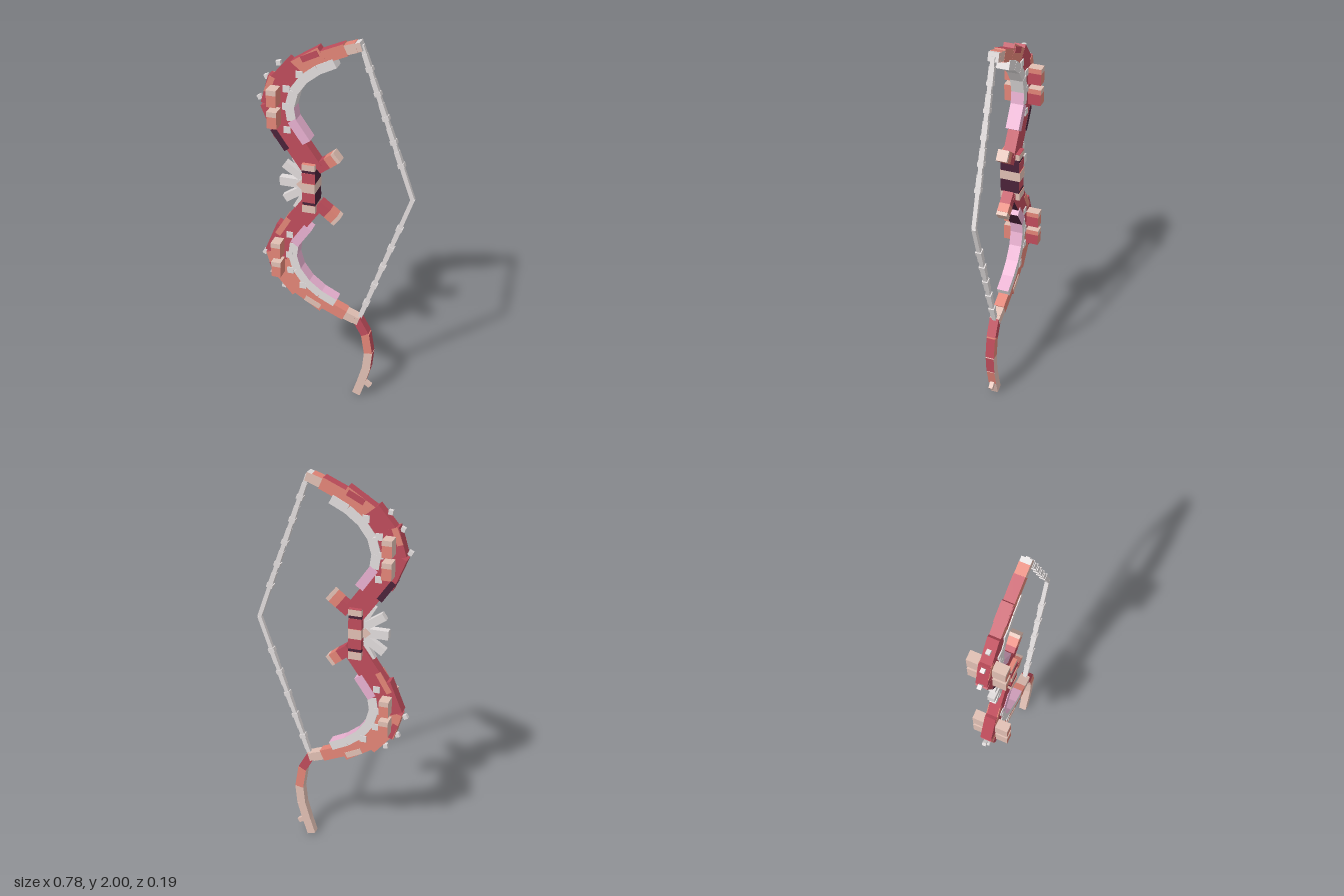
import * as THREE from 'three';

const mat = (name, color) => {
  const m = new THREE.MeshStandardMaterial({ color });
  m.name = name;
  return m;
};

export function createModel() {
  const red = mat('red', 0xbe4c5b), salmon = mat('salmon', 0xe28577), beige = mat('beige', 0xe0bfb3);
  const grey = mat('light grey', 0xe0dbdb), pink = mat('pink', 0xeab2d2), dark = mat('dark maroon', 0x4a2239);

  const bow = new THREE.Group();
  bow.name = 'bow';
  const MID = 1.23; // height of the grip centre, where the arms mirror

  const box = (parent, name, x, y, z, w, h, d, m) => {
    const mesh = new THREE.Mesh(new THREE.BoxGeometry(w, h, d), m);
    mesh.position.set(x, y, z);
    mesh.name = name;
    parent.add(mesh);
    return mesh;
  };
  // Box running from p to q; its local +y lies to the left of that direction
  const bar = (parent, name, p, q, w, d, m) => {
    const dx = q[0] - p[0], dy = q[1] - p[1];
    const mesh = box(parent, name, (p[0] + q[0]) / 2, (p[1] + q[1]) / 2, 0, Math.hypot(dx, dy), w, d, m);
    mesh.rotation.z = Math.atan2(dy, dx);
    return mesh;
  };
  // Face colours of a bar: ends, outer side, inner side, front and back
  const faces = (end, outer, inner, front) => [end, end, outer, inner, front, front];

  for (const up of [true, false]) {
    const arm = new THREE.Group();
    arm.name = up ? 'upperArm' : 'lowerArm';
    bow.add(arm);
    const fy = (y) => (up ? y : 2 * MID - y);
    const seg = (name, a, b, w, d, m) => {
      const p = [a[0], fy(a[1])], q = [b[0], fy(b[1])];
      return up ? bar(arm, name, p, q, w, d, m) : bar(arm, name, q, p, w, d, m);
    };

    // Overlapping blocks of the curved limb, from grip to tip
    const o = up ? red : salmon;
    const limb = [
      [[-0.11, 1.32], [-0.265, 1.54], 0.107, faces(red, red, up ? red : dark, red)],
      [[-0.247, 1.49], [-0.312, 1.65], 0.12, faces(red, red, red, red)],
      [[-0.31, 1.63], [-0.27, 1.77], 0.115, faces(red, o, red, up ? red : salmon)],
      [[-0.29, 1.73], [-0.19, 1.848], 0.1, faces(red, o, salmon, o)],
      [[-0.22, 1.815], [-0.06, 1.918], 0.082, faces(red, o, salmon, salmon)],
      [[-0.09, 1.893], [0.05, 1.955], 0.06, faces(salmon, o, salmon, salmon)],
      [[0.03, 1.947], [0.1, 1.972], 0.047, faces(salmon, salmon, beige, beige)],
      [[0.098, 1.971], [0.123, 1.979], 0.043, faces(grey, grey, beige, beige)],
    ];
    limb.forEach(([a, b, w, m], i) => seg('limbBlock', a, b, w, 0.058 - i * 0.001, m));
    if (up) seg('darkEdge', [-0.24, 1.413], [-0.308, 1.512], 0.03, 0.06, dark);

    // Pale lining on the inside of the curve
    const lining = [[-0.14, 1.465], [-0.212, 1.57], [-0.222, 1.64], [-0.2, 1.72], [-0.15, 1.79], [-0.08, 1.845], [0, 1.885]];
    for (let i = 0; i < lining.length - 1; i++) {
      const inner = up && i > 1 ? grey : pink;
      const m = i ? faces(grey, grey, inner, grey) : faces(pink, pink, up ? pink : dark, pink);
      // For the lower arm the bar still keeps its outer side as local +y
      seg('lining', lining[i], lining[i + 1], 0.046, 0.066 - i * 0.0008, m);
    }
    // Small stepped tabs along the lining
    for (const [x, y] of [[-0.235, 1.52], [-0.24, 1.64], [-0.235, 1.73], [-0.17, 1.81]])
      box(arm, 'liningTab', x, fy(y), 0, 0.034, 0.034, 0.067, grey);

    // Angled patches on both faces of the limb
    for (const s of [1, -1]) {
      const patches = [
        seg('limbPatch', [-0.335, 1.7], [-0.305, 1.78], 0.03, 0.004, up ? salmon : red),
        seg('limbPatch', [-0.16, 1.885], [-0.08, 1.925], 0.03, 0.004, up ? red : beige),
      ];
      if (!up) patches.push(seg('limbPatch', [-0.24, 1.43], [-0.3, 1.53], 0.03, 0.004, salmon));
      for (const p of patches) p.position.z = s * 0.028;
    }

    // Cross pegs through the limb, in a front and a back half
    for (const y of [1.697, 1.587]) {
      const py = up ? y : fy(y) - 0.004;
      box(arm, 'crossPegFront', -0.29, py, 0.0465, 0.048, 0.084, 0.093, [salmon, beige, beige, salmon, salmon, salmon]);
      box(arm, 'crossPegBack', -0.29, py, -0.0465, 0.048, 0.084, 0.093, [red, beige, salmon, salmon, salmon, salmon]);
      box(arm, 'pegCap', -0.29, py + 0.03, 0, 0.049, 0.026, 0.187, [salmon, beige, beige, beige, beige, beige]);
    }

    // Studs on the outer edge
    for (const [x, y, r] of [[-0.378, 1.66, 0.5], [-0.34, 1.77, 0.4], [-0.28, 1.845, 0.15]])
      box(arm, 'stud', x, fy(y), 0, 0.022, 0.022, 0.02, grey).rotation.z = up ? r : -r;

    // Prong beside the grip
    seg('prongBase', [-0.09, 1.33], [-0.04, 1.368], 0.054, 0.054, red);
    seg('prong', [-0.04, 1.368], [-0.005, 1.395], 0.056, 0.055, salmon);
    seg('prongTip', [-0.005, 1.395], [0.01, 1.407], 0.056, 0.055, beige);

    // Bowstring half with knots
    const s0 = [0.12, 1.98], s1 = [0.38, MID];
    const at = (t) => [s0[0] + (s1[0] - s0[0]) * t, s0[1] + (s1[1] - s0[1]) * t];
    seg('bowstring', s0, s1, 0.021, 0.02, grey);
    for (let i = 0; i < 5; i++) {
      const t = 0.1 + i * 0.155;
      seg('stringWrap', at(t - 0.045), at(t + 0.045), 0.024, 0.026, grey);
      seg('stringKnot', at(t + 0.035), at(t + 0.062), 0.032, 0.03, grey);
    }
  }

  // Grip of stacked bands
  const grip = new THREE.Group();
  grip.name = 'grip';
  bow.add(grip);
  const bands = [
    [1.095, 1.135, 0.1, beige], [1.135, 1.15, 0.094, dark], [1.15, 1.205, 0.096, red], [1.205, 1.255, 0.104, beige],
    [1.255, 1.31, 0.096, red], [1.31, 1.325, 0.094, dark], [1.325, 1.357, 0.1, beige],
  ];
  for (const [a, b, d, m] of bands) {
    const side = m === red ? dark : m;
    box(grip, 'gripBand', -0.127, (a + b) / 2, 0, 0.066, b - a, d, [side, m, salmon, salmon, m, m]);
  }
  // Red rear half of the top of the grip
  box(grip, 'gripTopPlate', -0.127, 1.357, -0.025, 0.065, 0.004, 0.049, red);

  // Fan of spikes in front of the grip
  const spikes = new THREE.Group();
  spikes.name = 'spikeFan';
  bow.add(spikes);
  bar(spikes, 'centreSpike', [-0.13, MID], [-0.285, MID], 0.046, 0.036, grey);
  for (const s of [1, -1]) {
    bar(spikes, 'sideSpike', [-0.15, MID + s * 0.02], [-0.262, MID + s * 0.095], 0.04, 0.032, grey);
    bar(spikes, 'outerSpike', [-0.15, MID + s * 0.04], [-0.205, MID + s * 0.14], 0.036, 0.028, grey);
  }
  const hub = box(spikes, 'spikeHub', -0.172, MID, 0, 0.036, 0.036, 0.05, beige);
  hub.rotation.z = Math.PI / 4;

  // Curved tail hanging from the lower tip
  const tail = new THREE.Group();
  tail.name = 'tail';
  bow.add(tail);
  const path = [[0.112, 0.492], [0.16, 0.405], [0.178, 0.29], [0.168, 0.19], [0.14, 0.09], [0.114, 0.008]];
  const tailMats = [
    faces(salmon, red, salmon, red), faces(salmon, red, beige, salmon), faces(beige, red, beige, beige),
    faces(beige, salmon, beige, beige), faces(grey, beige, beige, beige),
  ];
  for (let i = 0; i < 5; i++)
    bar(tail, 'tailSegment', path[i], path[i + 1], 0.044, 0.048 - i * 0.002, tailMats[i]);
  bar(tail, 'tailBarb', [0.14, 0.1], [0.188, 0.066], 0.024, 0.022, beige);

  return bow;
}
